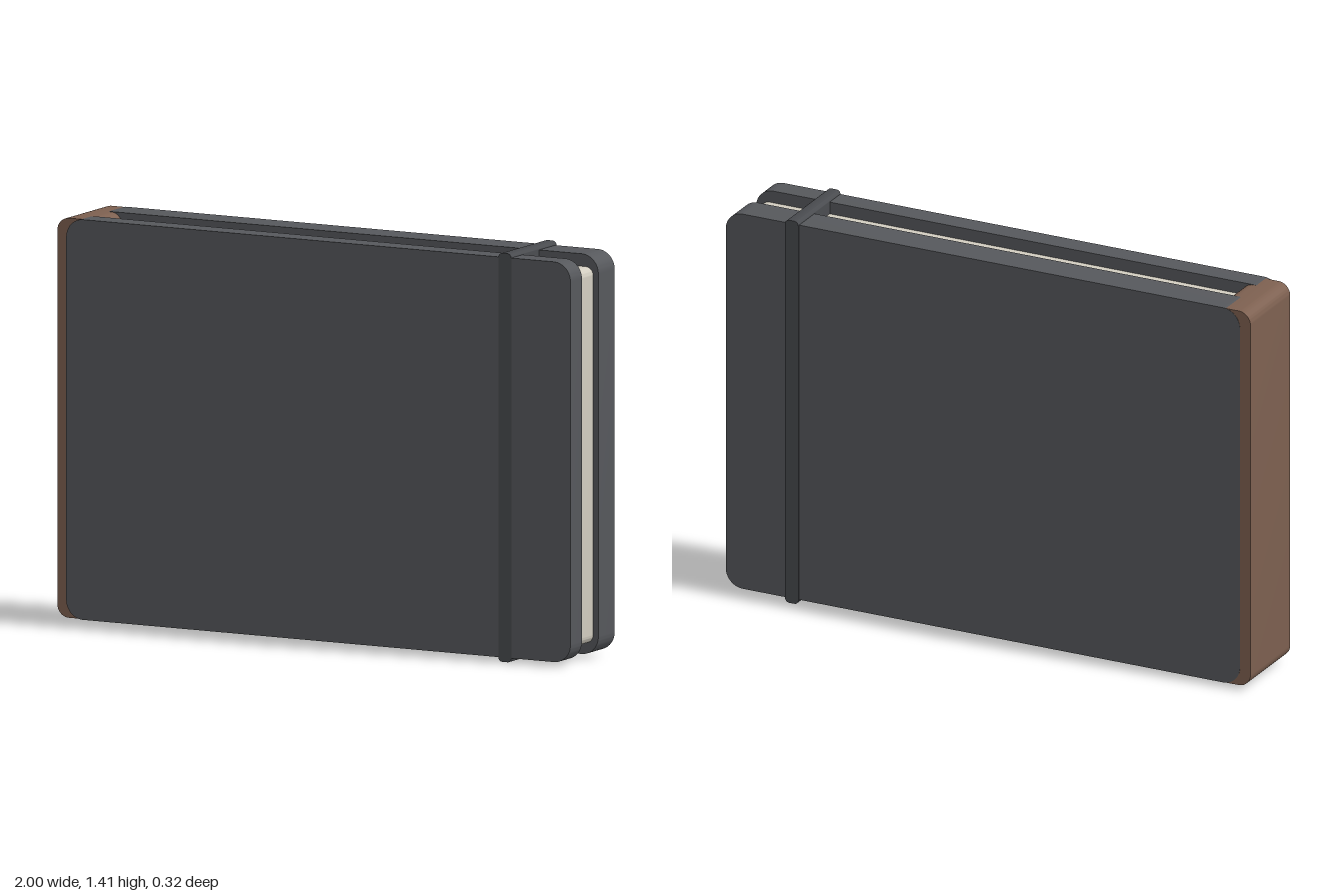
import * as THREE from 'three';
import { toCreasedNormals } from 'three/addons/utils/BufferGeometryUtils.js';

// Slab with rounded corners in the x-y plane, extruded from z0 to z1
function slab(name, material, [x0, x1], [y0, y1], [z0, z1], r) {
  const s = new THREE.Shape();
  s.moveTo(x0 + r, y0);
  s.lineTo(x1 - r, y0);
  s.absarc(x1 - r, y0 + r, r, -Math.PI / 2, 0);
  s.lineTo(x1, y1 - r);
  s.absarc(x1 - r, y1 - r, r, 0, Math.PI / 2);
  s.lineTo(x0 + r, y1);
  s.absarc(x0 + r, y1 - r, r, Math.PI / 2, Math.PI);
  s.lineTo(x0, y0 + r);
  s.absarc(x0 + r, y0 + r, r, Math.PI, Math.PI * 1.5);
  const geo = new THREE.ExtrudeGeometry(s, { depth: z1 - z0, bevelEnabled: false, curveSegments: 8 });
  geo.translate(0, 0, z0);
  const mesh = new THREE.Mesh(toCreasedNormals(geo, 0.6), material);
  mesh.name = name;
  return mesh;
}

export function createModel() {
  const cover = new THREE.MeshStandardMaterial({ color: 0x56585c });
  const leather = new THREE.MeshStandardMaterial({ color: 0x7d6050 });
  const paper = new THREE.MeshStandardMaterial({ color: 0xd2cdc0 });
  const elastic = new THREE.MeshStandardMaterial({ color: 0x484a4e });

  const notebook = new THREE.Group();
  notebook.name = 'notebook';
  notebook.add(
    // Two hard covers, the back one thicker
    slab('frontCover', cover, [-0.96, 1], [0.02, 1.398], [0.075, 0.155], 0.065),
    slab('backCover', cover, [-0.96, 1], [0.02, 1.398], [-0.154, -0.04], 0.065),
    // Page block set back from the cover edges
    slab('pages', paper, [-0.87, 0.98], [0.06, 1.355], [-0.04, 0.075], 0.03),
    // Spine wrapping the bound edge
    slab('spine', leather, [-1, -0.85], [0.021, 1.397], [-0.153, 0.145], 0.045),
    // Elastic closure strap running around the book
    slab('strap', elastic, [0.72, 0.77], [0.005, 1.412], [-0.161, 0.1555], 0.015)
  );
  return notebook;
}
